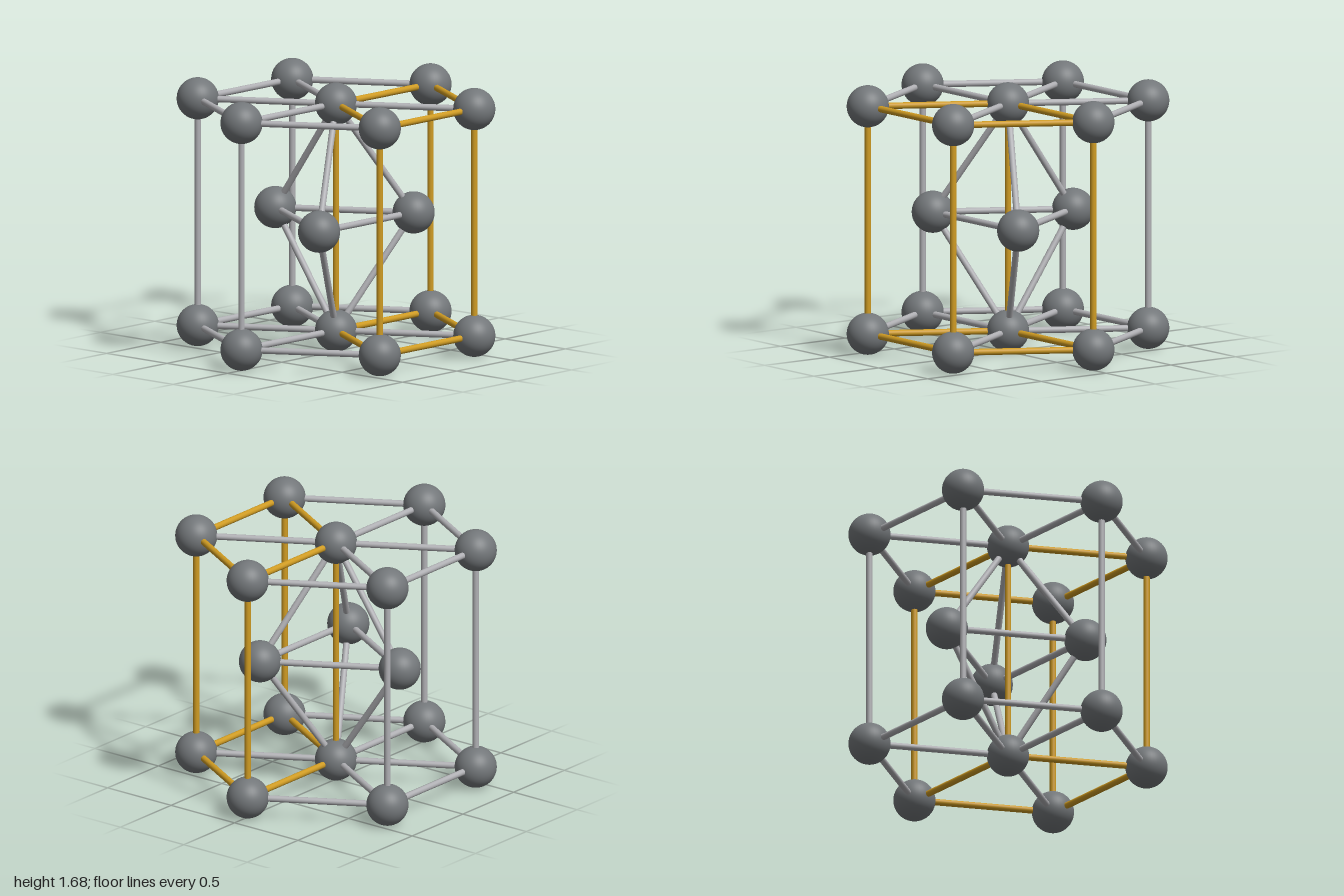
import * as THREE from 'three';

const BALL_R = 0.13, ROD_R = 0.02, HEX_R = 0.87;
const BOTTOM = 0.13, MIDDLE = 0.84, TOP = 1.55;

const material = (name, color) => {
  const m = new THREE.MeshStandardMaterial({ color });
  m.name = name;
  return m;
};

export function createModel() {
  const model = new THREE.Group();
  model.name = 'hexagonalLattice';
  const ballGrey = material('ball grey', 0x73777a);
  const rodSilver = material('rod silver', 0xb0b0b4);
  const rodGold = material('rod gold', 0xcf9b22);

  const ballGeometry = new THREE.SphereGeometry(BALL_R, 40, 28);
  const up = new THREE.Vector3(0, 1, 0);

  const ball = (p, name) => {
    const mesh = new THREE.Mesh(ballGeometry, ballGrey);
    mesh.position.copy(p);
    mesh.name = name;
    model.add(mesh);
  };

  // Rod between two ball centres
  const rod = (a, b, gold, name) => {
    const dir = b.clone().sub(a);
    const geometry = new THREE.CylinderGeometry(ROD_R, ROD_R, dir.length(), 20);
    const mesh = new THREE.Mesh(geometry, gold ? rodGold : rodSilver);
    mesh.position.copy(a).add(b).multiplyScalar(0.5);
    mesh.quaternion.setFromUnitVectors(up, dir.normalize());
    mesh.name = name;
    model.add(mesh);
  };

  // Corner i lies at i * 60 degrees, from +x towards +z
  const ring = (count, radius, start, y) => Array.from({ length: count }, (_, i) => {
    const t = start + (i * 2 * Math.PI) / count;
    return new THREE.Vector3(radius * Math.cos(t), y, radius * Math.sin(t));
  });

  // Top and bottom hexagon layers; the gold rhombus uses corners 0, 1, 2 and the centre
  const layers = [BOTTOM, TOP].map((y, k) => {
    const prefix = k ? 'top' : 'bottom';
    const corners = ring(6, HEX_R, 0, y);
    const centre = new THREE.Vector3(0, y, 0);
    ball(centre, prefix + 'CentreBall');
    corners.forEach((c, i) => {
      ball(c, prefix + 'CornerBall');
      rod(c, corners[(i + 1) % 6], i < 2, prefix + 'EdgeRod');
      rod(centre, c, i === 0 || i === 2, prefix + 'SpokeRod');
    });
    return { corners, centre };
  });

  // Upright rods
  const [low, high] = layers;
  low.corners.forEach((c, i) => rod(c, high.corners[i], i < 3, 'uprightRod'));
  rod(low.centre, high.centre, true, 'centreUprightRod');

  // Middle triangle, tied to both layer centres
  const middle = ring(3, HEX_R / Math.sqrt(3), Math.PI / 6, MIDDLE);
  middle.forEach((m, i) => {
    ball(m, 'middleBall');
    rod(m, middle[(i + 1) % 3], false, 'middleTriangleRod');
    rod(m, high.centre, false, 'upperDiagonalRod');
    rod(m, low.centre, false, 'lowerDiagonalRod');
  });

  return model;
}
